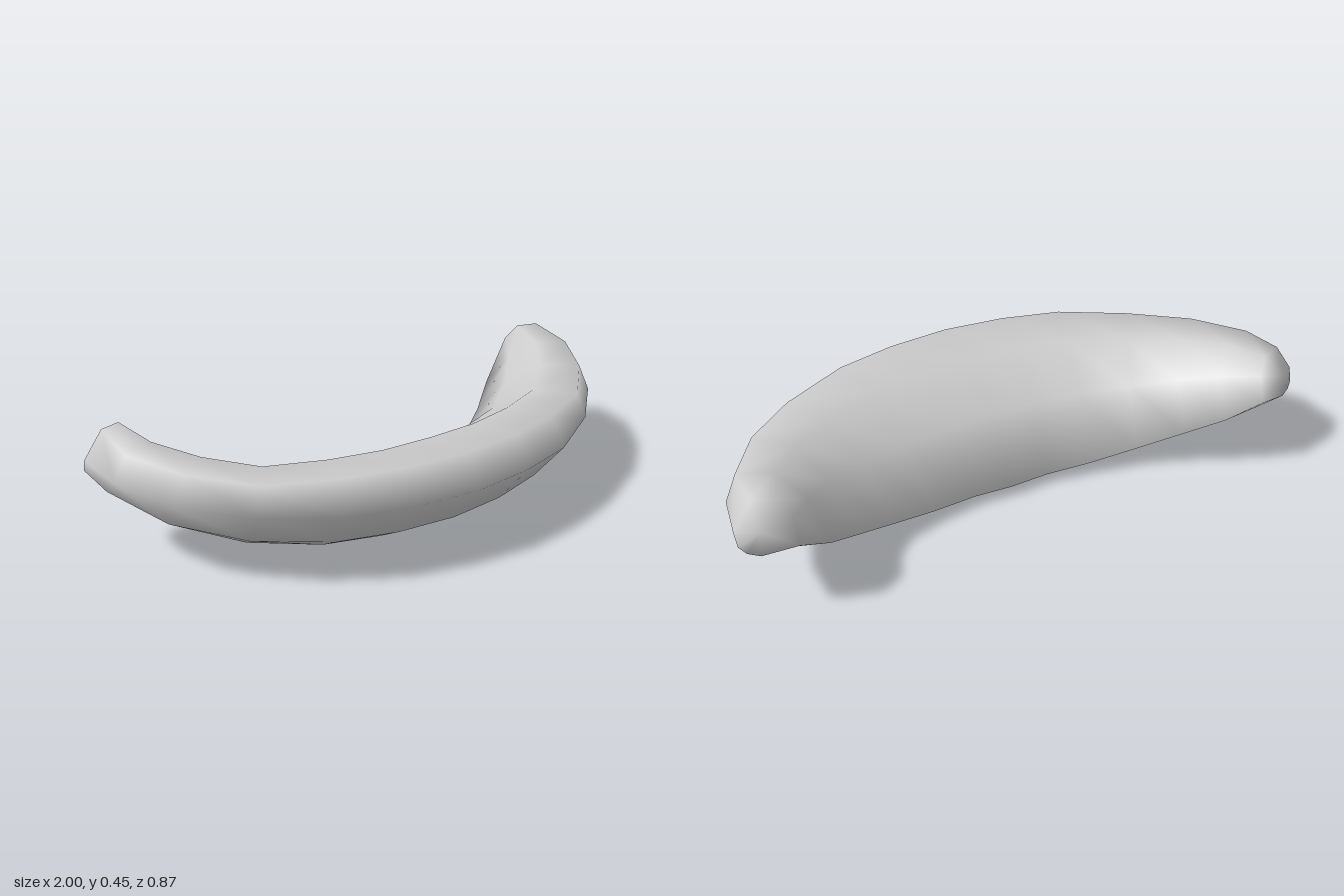
import * as THREE from 'three';

// Key points of each cross-section from the middle to the tip: outer, top, inner, bottom
const STATIONS = [
  [[0, .27, .433], [0, .38, .37], [0, .045, -.178], [0, .003, 0]],
  [[.23, .27, .407], [.22, .38, .35], [.14, .046, -.172], [.17, .004, -.01]],
  [[.45, .27, .345], [.43, .38, .3], [.3, .058, -.195], [.35, .014, -.05]],
  [[.69, .28, .205], [.66, .374, .187], [.47, .095, -.235], [.55, .05, -.135]],
  [[.87, .3, .035], [.83, .397, .02], [.61, .165, -.31], [.75, .135, -.24]],
  [[.977, .335, -.18], [.935, .422, -.17], [.72, .237, -.387], [.9, .24, -.335]],
  [[1, .356, -.35], [.935, .452, -.342], [.83, .31, -.438], [.94, .285, -.405]],
];
const SIDES = 8;
const LAST = STATIONS.length - 1;

// Point at t between a and b, pushed out square to that line, away from the given centre
function bulge(a, b, t, amount, centre) {
  const chord = b.clone().sub(a);
  const length = chord.length();
  chord.normalize();
  const out = a.clone().lerp(b, .5).sub(centre);
  out.addScaledVector(chord, -out.dot(chord)).normalize();
  return a.clone().lerp(b, t).addScaledVector(out, amount * length);
}

// Eight-sided section: a domed inner flank and a rounded underside, rounder towards the tips
function ring(i) {
  const mirror = Math.sign(i) || 1;
  const [outer, top, inner, bottom] = STATIONS[Math.abs(i)]
    .map(([x, y, z]) => new THREE.Vector3(x * mirror, y, z));
  const centre = outer.clone().add(top).add(inner).add(bottom).multiplyScalar(.25);
  const round = 1 + (i / LAST) ** 4;
  return [
    outer, top,
    bulge(top, inner, .27, .14 * round, centre), bulge(top, inner, .62, .13 * round, centre),
    inner, bottom,
    bulge(bottom, outer, .33, .105 * round, centre), bulge(bottom, outer, .63, .118 * round, centre),
  ];
}

function bodyGeometry() {
  const rings = [];
  for (let i = -LAST; i <= LAST; i++) rings.push(ring(i));

  const points = rings.flat();
  const index = [];
  for (let i = 0; i < rings.length - 1; i++) {
    for (let j = 0; j < SIDES; j++) {
      const k = (j + 1) % SIDES;
      const a = i * SIDES + j, b = i * SIDES + k;
      index.push(a, a + SIDES, b, b, a + SIDES, b + SIDES);
    }
  }

  // Slightly domed tips
  for (const side of [-1, 1]) {
    const start = side < 0 ? 0 : (rings.length - 1) * SIDES;
    const tip = new THREE.Vector3();
    for (let j = 0; j < SIDES; j++) tip.addScaledVector(points[start + j], 1 / SIDES);
    tip.add(new THREE.Vector3(.01 * side, .015, -.02));
    const centre = points.push(tip) - 1;
    for (let j = 0; j < SIDES; j++) {
      const a = start + j, b = start + (j + 1) % SIDES;
      index.push(centre, ...(side < 0 ? [a, b] : [b, a]));
    }
  }

  const geometry = new THREE.BufferGeometry().setFromPoints(points);
  geometry.setIndex(index);
  geometry.computeVertexNormals();
  return geometry;
}

export function createModel() {
  const group = new THREE.Group();
  group.name = 'curvedFruit';
  const body = new THREE.Mesh(bodyGeometry(), new THREE.MeshStandardMaterial({ color: 0xcccccc }));
  body.name = 'curvedBody';
  group.add(body);

  // Centre the model and stand it on the ground
  const box = new THREE.Box3().setFromObject(body);
  const centre = box.getCenter(new THREE.Vector3());
  body.geometry.translate(-centre.x, -box.min.y, -centre.z);
  return group;
}
